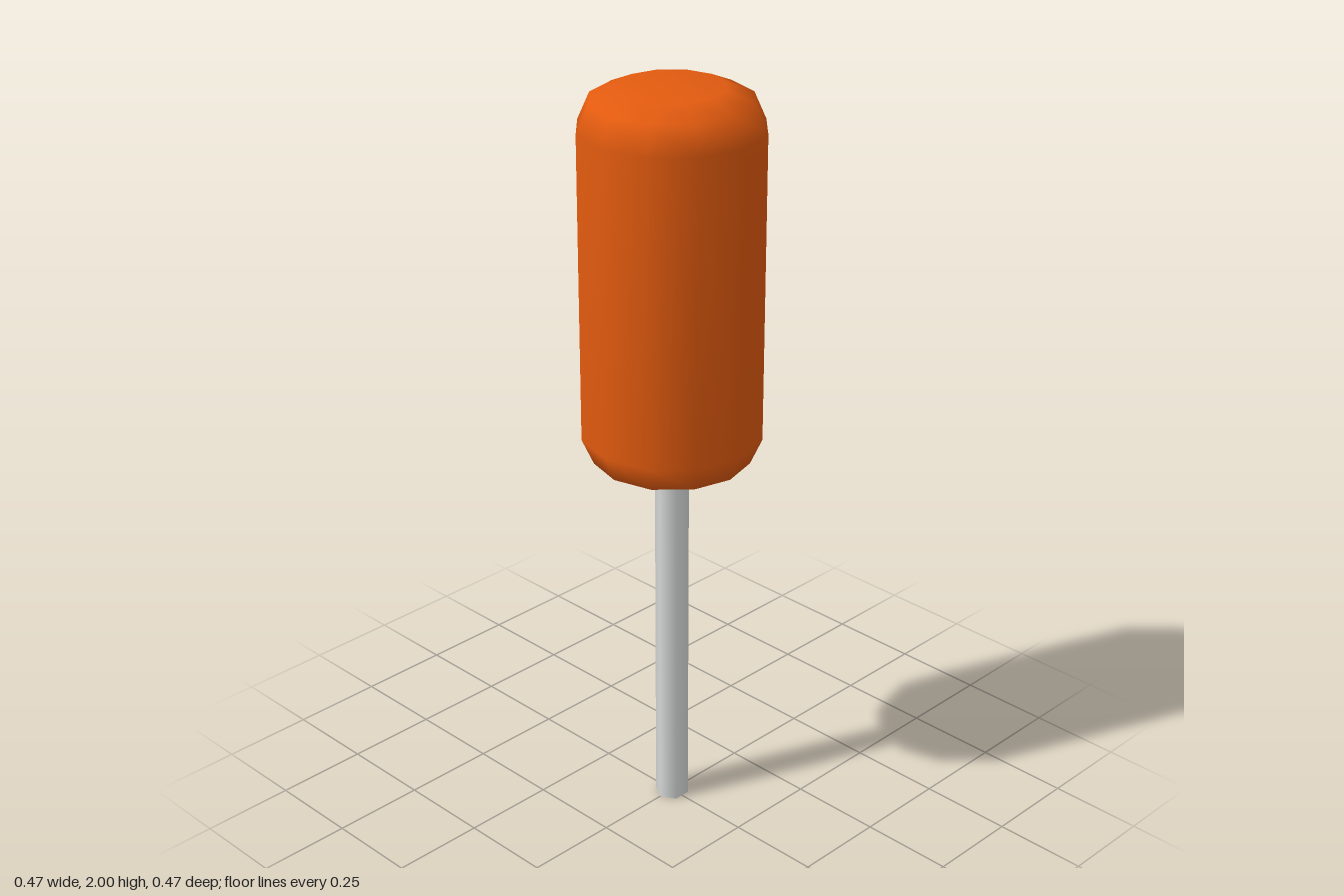
import * as THREE from 'three';

export function createModel() {
  const group = new THREE.Group();
  group.name = 'screwdriver';

  const orange = new THREE.MeshStandardMaterial({ color: 0xe35b0f });
  orange.name = 'orange plastic';
  const steel = new THREE.MeshStandardMaterial({ color: 0xd8dada });
  steel.name = 'steel';

  // Handle: twelve-sided grip with rounded ends, mirrored about y = 1.5
  const lower = [[0, 1], [0.135, 1], [0.204, 1.03], [0.235, 1.1]];
  const upper = lower.map(([r, y]) => [r, 3 - y]).reverse();
  const profile = [...lower, ...upper].map(([r, y]) => new THREE.Vector2(r, y));
  const handle = new THREE.Mesh(new THREE.LatheGeometry(profile, 12), orange);
  handle.name = 'handle';
  group.add(handle);

  // Shaft: hexagonal rod with smooth sides, reaching just into the handle
  const length = 1.02;
  const shaft = new THREE.Mesh(new THREE.CylinderGeometry(0.045, 0.045, length, 6), steel);
  shaft.name = 'shaft';
  shaft.position.y = length / 2;
  group.add(shaft);

  return group;
}
